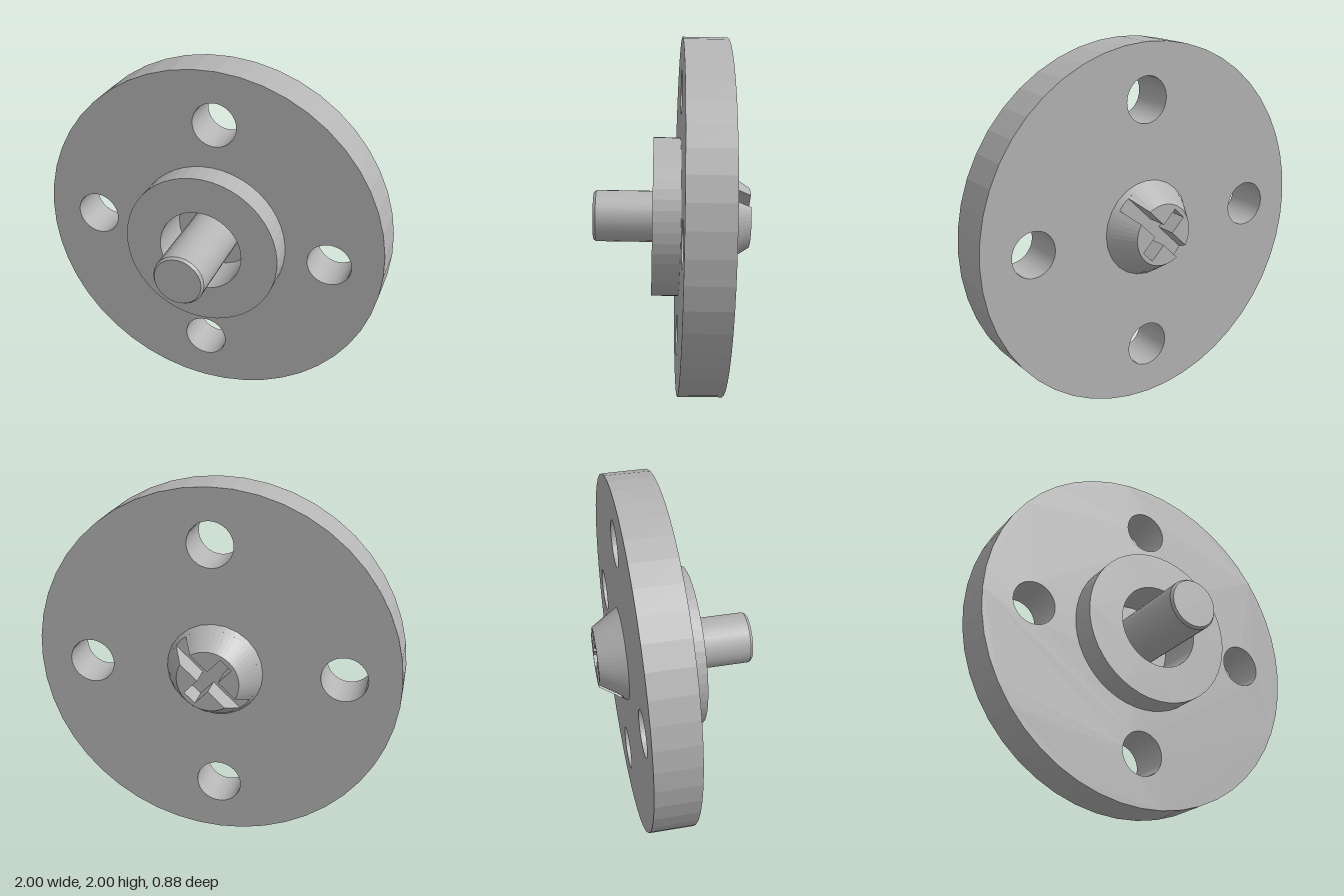
import * as THREE from 'three';

const SEG = 24;

export function createModel() {
  const steel = new THREE.MeshStandardMaterial({ color: 0xb4b4b4 });
  steel.name = 'steel grey';

  const model = new THREE.Group();
  model.name = 'flangeAssembly';
  // Everything shares one slightly tilted axis
  const tilted = new THREE.Group();
  tilted.name = 'tiltedFlange';
  tilted.position.y = 1.005;
  tilted.rotation.set(-0.019, 0, -0.026);
  model.add(tilted);

  const add = (name, geometry) => {
    const mesh = new THREE.Mesh(geometry, steel);
    mesh.name = name;
    tilted.add(mesh);
    return mesh;
  };
  const circle = (Kind, r, x = 0, y = 0) => new Kind().absarc(x, y, r, 0, Math.PI * 2, false);
  const extrude = (shape, z0, z1, curveSegments = SEG) =>
    new THREE.ExtrudeGeometry(shape, { depth: z1 - z0, bevelEnabled: false, curveSegments }).translate(0, 0, z0);
  // Cylinder or frustum running along z
  const round = (rBack, rFront, z0, z1, open = false) =>
    new THREE.CylinderGeometry(rFront, rBack, z1 - z0, SEG, 1, open)
      .rotateX(Math.PI / 2).translate(0, 0, (z0 + z1) / 2);

  // Flange plate with four bolt holes and a central bore
  const plate = circle(THREE.Shape, 1);
  plate.holes.push(circle(THREE.Path, 0.24));
  for (let i = 0; i < 4; i++) {
    const a = i * Math.PI / 2;
    plate.holes.push(circle(THREE.Path, 0.125, 0.7 * Math.cos(a), 0.7 * Math.sin(a)));
  }
  add('flangePlate', extrude(plate, -0.285, -0.04));

  // Raised hub ring around the bore, and the bore floor
  const hub = circle(THREE.Shape, 0.447);
  hub.holes.push(circle(THREE.Path, 0.24));
  add('hubRing', extrude(hub, -0.04, 0.11));
  add('boreFloor', round(0.24, 0.24, -0.285, -0.17));

  // Shaft with a small chamfer at its tip
  add('shaft', round(0.145, 0.145, -0.17, 0.425, true));
  add('shaftTip', round(0.145, 0.134, 0.425, 0.44));

  // Conical head on the back, split by a cross-shaped driver recess
  const zFace = -0.435, zFloor = -0.315, zBase = -0.285;
  const rFace = 0.17, slope = 0.095 / 0.15, w = 0.04;
  const radiusAt = (z) => rFace + (z - zFace) * slope;
  add('headBase', round(radiusAt(zFloor), radiusAt(zBase), zFloor, zBase));

  const a0 = Math.asin(w / rFace);
  const half = new THREE.Shape();
  half.moveTo(rFace * Math.cos(a0), w);
  half.absarc(0, 0, rFace, a0, Math.PI - a0, false);
  half.lineTo(-w, w);
  half.lineTo(-w, 0.145);
  half.lineTo(w, 0.145);
  half.lineTo(w, w);
  const headHalf = extrude(half, zFace, zFloor, 12);
  // Flare the outer arc towards the plate, keeping the slot walls flat
  const p = headHalf.attributes.position;
  for (let i = 0; i < p.count; i++) {
    const x = p.getX(i), y = p.getY(i), r = Math.hypot(x, y);
    if (r < 0.165) continue;
    const R = radiusAt(p.getZ(i));
    if (Math.abs(y - w) < 1e-4) p.setX(i, Math.sign(x) * Math.sqrt(R * R - w * w));
    else p.setXY(i, x * R / r, y * R / r);
  }
  headHalf.computeVertexNormals();
  for (const side of [0, 1]) {
    add(side ? 'headHalfLower' : 'headHalfUpper', headHalf).rotation.z = Math.PI / 4 + side * Math.PI;
  }

  return model;
}
